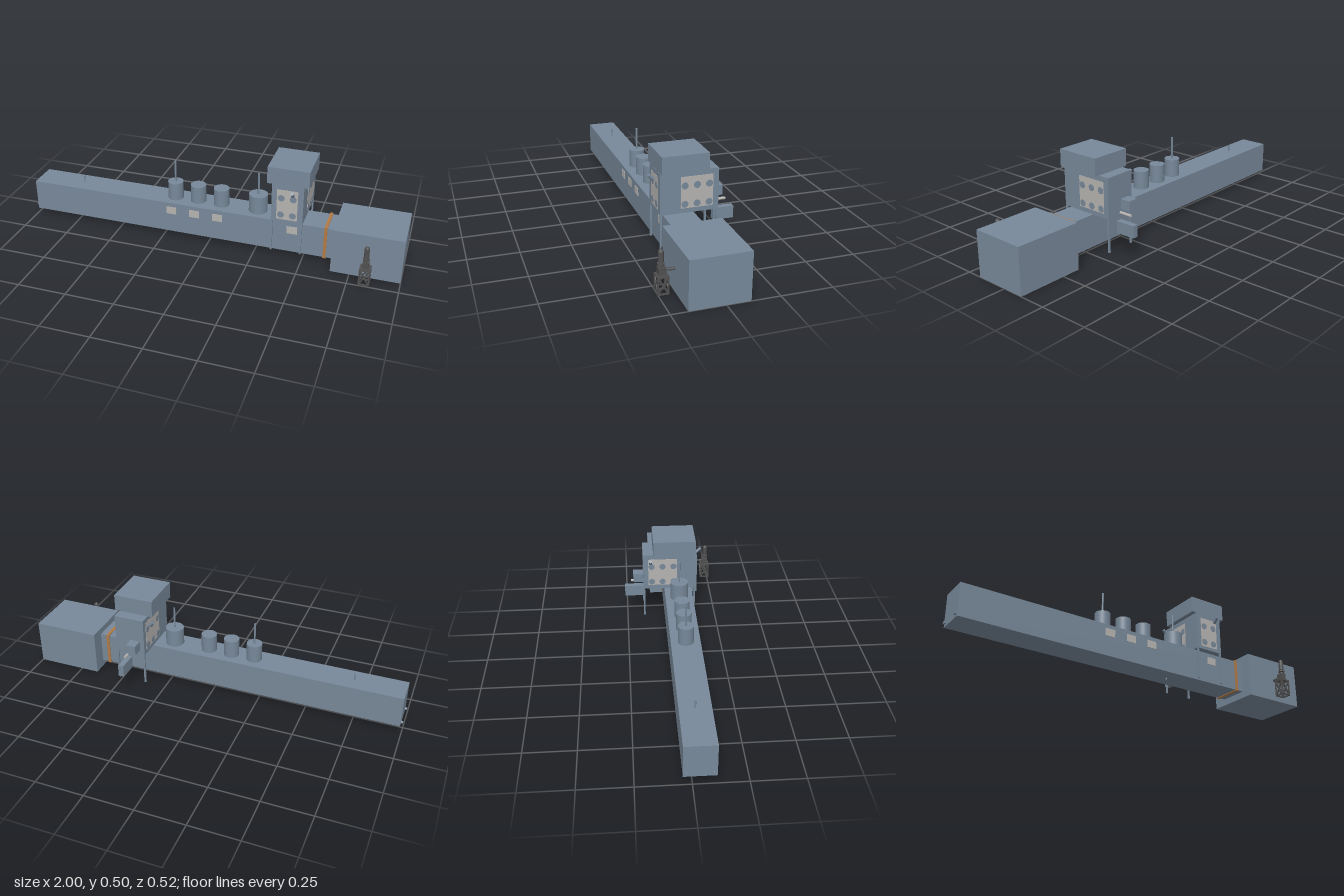
import * as THREE from 'three';

const paint = (color) => new THREE.MeshStandardMaterial({ color });

export function createModel() {
  const model = new THREE.Group();
  const blue = paint(0x778899), pale = paint(0xb5b3b0), orange = paint(0xb07a45), dark = paint(0x505050);

  const add = (name, geo, mat, x, y, z, parent = model) => {
    const m = new THREE.Mesh(geo, mat);
    m.name = name;
    m.position.set(x, y, z);
    parent.add(m);
    return m;
  };
  // Box given by its limits along each axis
  const box = (name, mat, x0, x1, y0, y1, z0, z1, parent) =>
    add(name, new THREE.BoxGeometry(x1 - x0, y1 - y0, z1 - z0), mat,
      (x0 + x1) / 2, (y0 + y1) / 2, (z0 + z1) / 2, parent);
  // Round bar between two points
  const bar = (name, mat, a, b, r, parent, sides = 24) => {
    const p = new THREE.Vector3(...a), q = new THREE.Vector3(...b);
    const d = q.clone().sub(p), c = p.clone().add(q).multiplyScalar(0.5);
    const m = add(name, new THREE.CylinderGeometry(r, r, d.length(), sides), mat, c.x, c.y, c.z, parent);
    m.quaternion.setFromUnitVectors(new THREE.Vector3(0, 1, 0), d.normalize());
    return m;
  };

  // Long housing, end block and joint collar
  box('longHousing', blue, -0.99, 0.655, 0.035, 0.202, -0.041, 0.11);
  box('endBlock', blue, 0.655, 1, 0, 0.236, -0.113, 0.171);
  box('jointCollar', orange, 0.604, 0.62, 0.031, 0.207, -0.045, 0.114);

  // Tanks along the top, two with tall stacks
  [[-0.2, 0.04, true], [-0.075, 0.04], [0.05, 0.04], [0.246, 0.048, true]].forEach(([x, r, stack]) => {
    bar('tank', blue, [x, 0.202, 0.035], [x, 0.296, 0.035], r, model, 40);
    if (stack) bar('stack', blue, [x, 0.29, 0.035], [x, 0.412, 0.035], 0.005);
  });
  // Plates on the front of the housing
  [-0.2, -0.075, 0.05, 0.442].forEach((x) =>
    box('frontPlate', pale, x - 0.027, x + 0.027, 0.14, 0.18, 0.109, 0.113));

  // Small sensor post, drain and end knobs
  bar('sensorPost', blue, [-0.73, 0.202, 0.035], [-0.73, 0.242, 0.035], 0.0035);
  bar('sensorHead', blue, [-0.738, 0.24, 0.035], [-0.727, 0.24, 0.035], 0.003);
  bar('drain', blue, [0.195, 0.025, 0.035], [0.195, 0.036, 0.035], 0.004);
  [-0.025, 0.093].forEach((z) => bar('endKnob', blue, [-1, 0.052, z], [-0.99, 0.052, z], 0.007));

  // Tower with overhanging cap and four legs
  const tower = new THREE.Group();
  tower.name = 'tower';
  model.add(tower);
  box('towerBody', blue, 0.336, 0.496, 0.21, 0.416, -0.158, 0.13, tower);
  box('towerCap', blue, 0.31, 0.52, 0.416, 0.504, -0.101, 0.129, tower);
  for (const x of [0.341, 0.491]) for (const z of [-0.1535, 0.1255])
    box('towerLeg', blue, x - 0.0045, x + 0.0045, 0.04, 0.21, z - 0.0045, z + 0.0045, tower);

  // Window panels on the front and both ends
  box('frontPanel', pale, 0.363, 0.468, 0.227, 0.391, 0.129, 0.1312, tower);
  for (const y of [0.253, 0.345]) {
    for (const x of [0.385, 0.445])
      bar('frontWindow', blue, [x, y, 0.129], [x, y, 0.1325], 0.017, tower, 32);
    for (const s of [-1, 1]) for (const z of [0.009, -0.051, -0.111])
      bar('sideWindow', blue, [0.416 + s * 0.079, y, z], [0.416 + s * 0.0825, y, z], 0.017, tower, 32);
  }
  for (const s of [-1, 1]) {
    const x = 0.416 + s * 0.08;
    box('sidePanel', pale, x - 0.0013, x + 0.0013, 0.233, 0.39, -0.13, 0.029, tower);
  }

  // Tilted lamps on the front and one end
  bar('frontLamp', blue, [0.445, 0.373, 0.143], [0.445, 0.398, 0.169], 0.0085, tower);
  bar('sideLamp', blue, [0.322, 0.373, -0.118], [0.297, 0.398, -0.118], 0.0085, tower);

  // Boxes and pipe on the back
  box('backBox', blue, 0.36, 0.412, 0.24, 0.291, -0.213, -0.156, tower);
  box('backDuct', blue, 0.41, 0.44, 0.126, 0.188, -0.261, -0.157, tower);
  bar('backPipe', pale, [0.415, 0.223, -0.15], [0.415, 0.223, -0.226], 0.007, tower);

  // Pump on a braced stand
  const pump = new THREE.Group();
  pump.name = 'pump';
  pump.position.set(0.832, 0, 0.2325);
  model.add(pump);
  const h = 0.027, t = 0.006;
  for (const sx of [-1, 1]) for (const sz of [-1, 1]) {
    const x = sx * (h - t / 2), z = sz * (h - t / 2);
    box('standPost', dark, x - t / 2, x + t / 2, 0.01, 0.098, z - t / 2, z + t / 2, pump);
  }
  for (let i = 0; i < 4; i++) {
    const side = new THREE.Group();
    side.name = 'standSide';
    side.rotation.y = i * Math.PI / 2;
    pump.add(side);
    box('standRail', dark, -h, h, 0.01, 0.017, h - t, h, side);
    box('standRail', dark, -h, h, 0.09, 0.098, h - t, h, side);
    for (const s of [-1, 1]) {
      const brace = add('standBrace', new THREE.BoxGeometry(0.0065, 0.086, 0.004), dark, 0, 0.054, h - 0.003, side);
      brace.rotation.z = s * Math.atan2(0.044, 0.074);
    }
  }
  box('standTop', dark, -h, h, 0.094, 0.098, -h, h, pump);
  box('pumpBody', dark, -0.015, 0.015, 0.098, 0.135, -0.017, 0.017, pump);
  // Stepped motor turned about the vertical axis
  const profile = [[0, 0.13], [0.011, 0.13], [0.011, 0.144], [0.016, 0.146], [0.016, 0.153], [0.0095, 0.153],
    [0.0095, 0.158], [0.0125, 0.159], [0.0125, 0.207], [0.01, 0.213], [0.005, 0.216], [0, 0.216]];
  add('motor', new THREE.LatheGeometry(profile.map(([r, y]) => new THREE.Vector2(r, y)), 24),
    new THREE.MeshStandardMaterial({ color: 0x505050, flatShading: true }), 0, 0, 0.0035, pump);
  bar('pumpPipe', dark, [0, 0.117, -0.015], [0, 0.117, -0.063], 0.004, pump);
  for (let i = 0; i < 5; i++) {
    const z = -0.02 - i * 0.009;
    bar('pipeFlange', dark, [0, 0.117, z], [0, 0.117, z - 0.004], 0.007, pump);
  }
  return model;
}
